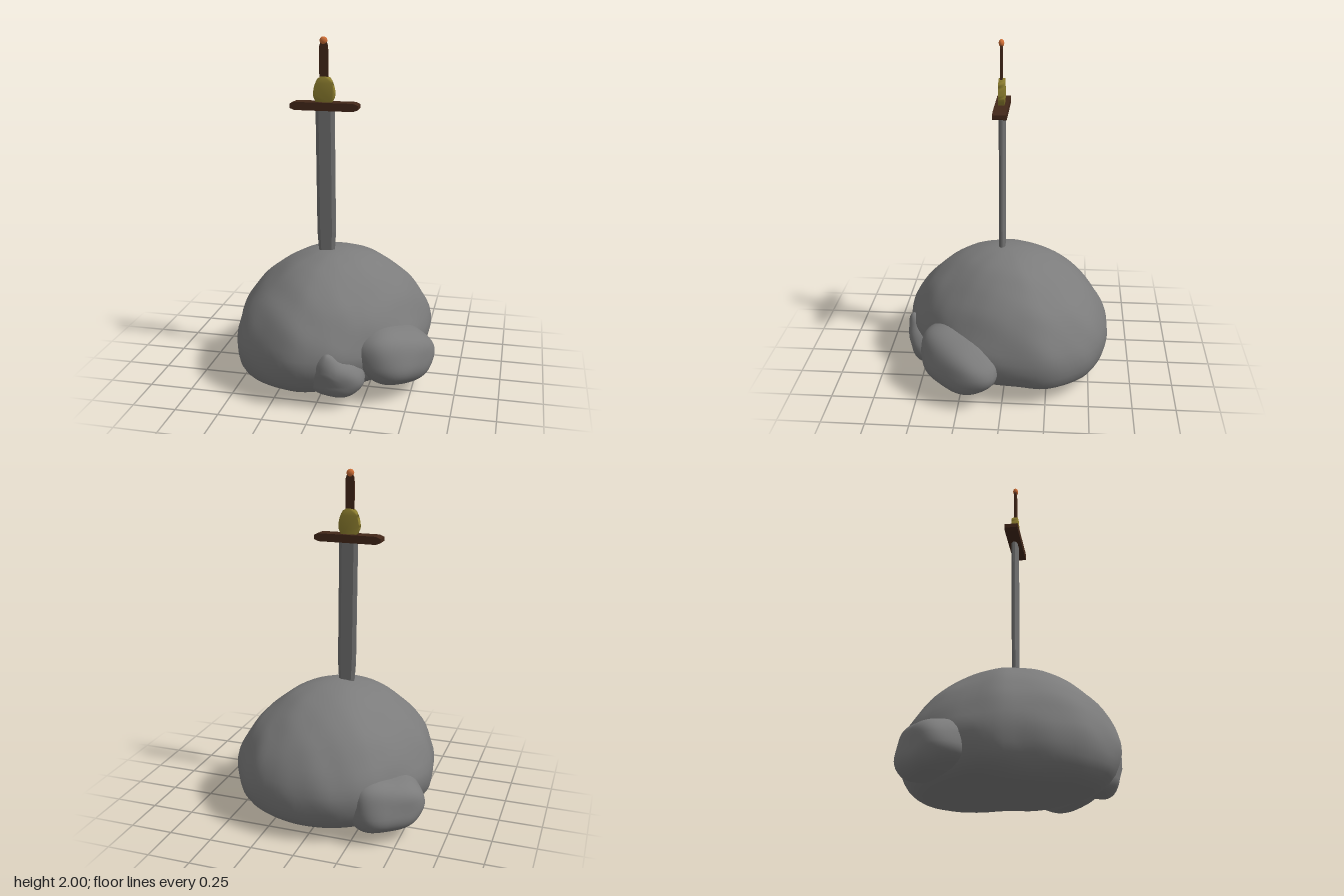
import * as THREE from 'three';
import { mergeVertices } from 'three/addons/utils/BufferGeometryUtils.js';

const material = (color, extra = {}) => new THREE.MeshStandardMaterial({ color, ...extra });

function add(parent, name, geometry, mat, x = 0, y = 0, z = 0) {
  const mesh = new THREE.Mesh(geometry, mat);
  mesh.name = name;
  mesh.position.set(x, y, z);
  parent.add(mesh);
  return mesh;
}

// Welds shared corners so the normals run smoothly over the whole surface
function smooth(geometry) {
  geometry.deleteAttribute('uv');
  geometry.deleteAttribute('normal');
  const g = mergeVertices(geometry, 1e-5);
  g.computeVertexNormals();
  return g;
}

// Moves every vertex of a unit sphere by a rule
function sculpt(rule, w = 72, h = 44) {
  const g = new THREE.SphereGeometry(1, w, h);
  const p = g.attributes.position, v = new THREE.Vector3();
  for (let i = 0; i < p.count; i++) {
    v.fromBufferAttribute(p, i);
    rule(v, (i % (w + 1)) / w, Math.floor(i / (w + 1)) / h);
    p.setXYZ(i, v.x, v.y, v.z);
  }
  return smooth(g);
}

// Gentle lumps, roughly -1 to 1
const lumps = (x, y, z, f) =>
  0.5 * Math.sin(f * x + 1.3 * f * y + 0.7) * Math.cos(f * z - 0.6 * f * y) +
  0.3 * Math.sin(1.9 * f * z + f * y + 2.1) + 0.2 * Math.cos(2.3 * f * x - 1.7 * f * y + 0.4);

// Smooth bump of height 1 around a point
const bump = (dx, dz, width) => Math.exp(-(dx * dx + dz * dz) / (width * width));

const curve = (points, closed) => new THREE.CatmullRomCurve3(
  points.map(([a, b]) => new THREE.Vector3(a, b, 0)), closed);

// Main boulder: plan outline scaled by a vertical profile
function boulderGeometry() {
  const plan = curve([[-0.595, 0], [-0.575, 0.12], [-0.53, 0.3], [-0.465, 0.425], [-0.36, 0.51], [-0.23, 0.58],
    [-0.11, 0.61], [0.1, 0.565], [0.26, 0.46], [0.4, 0.33], [0.5, 0.15], [0.555, -0.08],
    [0.553, -0.25], [0.47, -0.4], [0.35, -0.52], [0.18, -0.595], [0, -0.615], [-0.2, -0.58],
    [-0.35, -0.5], [-0.45, -0.38], [-0.54, -0.2]], true);
  const profile = curve([[0, 0.765], [0.15, 0.757], [0.3, 0.735], [0.47, 0.69], [0.67, 0.6], [0.83, 0.5],
    [0.95, 0.37], [1, 0.25], [0.97, 0.135], [0.87, 0.07], [0.68, 0.042], [0.4, 0.055], [0, 0.075]], false);
  return sculpt((v, col, row) => {
    const o = plan.getPointAt(col % 1), s = profile.getPointAt(row);
    const r = Math.max(0, s.x);
    const low = Math.max(0, 1 - s.y / 0.25);
    // undercut beside the smaller rocks
    const side = (o.x + o.y) / 0.85;
    const cut = 1 - low * (side > 0 ? 0.16 : 0.06) * side * side;
    v.set(o.x * r * cut, s.y, o.y * r * cut);
    const n = (lumps(v.x, v.y, v.z, 9) * 0.012 + lumps(v.z, v.x, v.y, 17) * 0.006) * r;
    v.x *= 1 + n;
    v.z *= 1 + n;
    v.y += n * 0.6;
    // underside: two low lobes with a shallow channel between them
    v.y += low * (0.03 * v.x * r + 0.03 * Math.exp(-(((v.z + 0.12) / 0.17) ** 2))
      - 0.04 * bump(v.x + 0.28, v.z - 0.22, 0.24) - 0.015 * bump(v.x, v.z + 0.46, 0.25));
  });
}

// Side rock: rounded block with lumps and an extra shaping rule
function rockGeometry(size, power, shape) {
  const soft = (t) => Math.sign(t) * Math.pow(Math.abs(t), power);
  return sculpt((v) => {
    v.set(soft(v.x), soft(v.y), soft(v.z));
    shape(v);
    v.multiplyScalar(1 + 0.06 * lumps(v.x, v.y, v.z, 2.6));
    v.multiply(size);
  }, 40, 28);
}

// Flat outline given as points, extruded and centred in depth
function plate(points, depth, rounded = false) {
  const pts = points.map(([x, y]) => new THREE.Vector2(x, y));
  const shape = new THREE.Shape(rounded ? new THREE.SplineCurve(pts).getPoints(24) : pts);
  return new THREE.ExtrudeGeometry(shape, { depth, bevelEnabled: false }).translate(0, 0, -depth / 2);
}

// Blade: flattened hexagonal section, leaning slightly and narrowing at its foot
function bladeGeometry() {
  const section = new THREE.Shape([[-0.055, -0.005], [-0.035, -0.018], [0.035, -0.018], [0.055, -0.005],
    [0.055, 0.005], [0.035, 0.018], [-0.035, 0.018], [-0.055, 0.005]].map(([x, y]) => new THREE.Vector2(x, y)));
  const g = new THREE.ExtrudeGeometry(section, { depth: 1, steps: 20, bevelEnabled: false });
  g.rotateX(-Math.PI / 2);
  const p = g.attributes.position;
  for (let i = 0; i < p.count; i++) {
    const y = p.getY(i);
    p.setX(i, p.getX(i) * Math.min(1, 0.7 + 1.2 * y) + 0.01 * (1 - y));
  }
  return g;
}

export function createModel() {
  const model = new THREE.Group();
  model.name = 'swordInStone';
  const stone = material(0x7c7c7c);
  const brown = material(0x422719);

  // Stones
  const rocks = new THREE.Group();
  rocks.name = 'rocks';
  model.add(rocks);
  add(rocks, 'boulder', boulderGeometry(), stone);

  const large = rockGeometry(new THREE.Vector3(0.26, 0.165, 0.155), 0.9, (v) => {
    v.y *= v.y > 0 ? 1.02 - 0.22 * v.x : 0.98;
    v.z -= 0.2 * v.y;
    v.x -= 0.1 * v.y;
  });
  add(rocks, 'largeSideRock', large, stone, 0.413, 0.242, 0.258).rotation.y = 0.927;

  // Small rock with a blunt horn on its outer side
  const small = rockGeometry(new THREE.Vector3(0.16, 0.115, 0.125), 0.85, (v) => {
    const horn = v.y > 0 ? bump(v.x + 0.2, v.z - 0.7, 0.4) : 0;
    v.y += 0.7 * horn;
    v.z += 0.3 * horn;
  });
  add(rocks, 'smallFrontRock', small, stone, 0.1, 0.172, 0.462);

  const back = rockGeometry(new THREE.Vector3(0.225, 0.15, 0.165), 0.72, (v) => {
    v.y *= 1 - 0.15 * v.x;
    v.z -= 0.15 * v.y;
  });
  add(rocks, 'backRock', back, stone, -0.398, 0.212, -0.342).rotation.y = -2.47;

  // Sword
  const sword = new THREE.Group();
  sword.name = 'sword';
  sword.position.set(-0.055, 0, 0.037);
  model.add(sword);
  add(sword, 'blade', bladeGeometry(), material(0x707070, { flatShading: true }), 0.001, 0.62, -0.002);

  const guard = plate([[-0.197, -0.012], [-0.17, -0.023], [0.17, -0.023], [0.197, -0.012],
    [0.197, 0.012], [0.17, 0.023], [-0.17, 0.023], [-0.197, 0.012]], 0.078);
  add(sword, 'crossguard', guard, brown, 0, 1.613, 0);

  const collar = plate([[0.045, 0], [0.06, 0.035], [0.06, 0.065], [0.049, 0.108], [0.026, 0.143],
    [-0.026, 0.143], [-0.049, 0.108], [-0.06, 0.065], [-0.06, 0.035], [-0.045, 0]], 0.035, true);
  add(sword, 'goldCollar', smooth(collar), material(0x8f8030), -0.003, 1.633, 0);

  const grip = plate([[0.024, 0], [0.026, 0.1], [0.024, 0.18], [0.014, 0.205],
    [-0.014, 0.205], [-0.024, 0.18], [-0.026, 0.1], [-0.024, 0]], 0.013);
  add(sword, 'grip', grip, brown, -0.005, 1.77, 0.002);

  const pommel = add(sword, 'pommel', new THREE.SphereGeometry(0.022, 20, 14), material(0xd07038), -0.006, 1.978, 0.002);
  pommel.scale.z = 0.7;

  return model;
}
